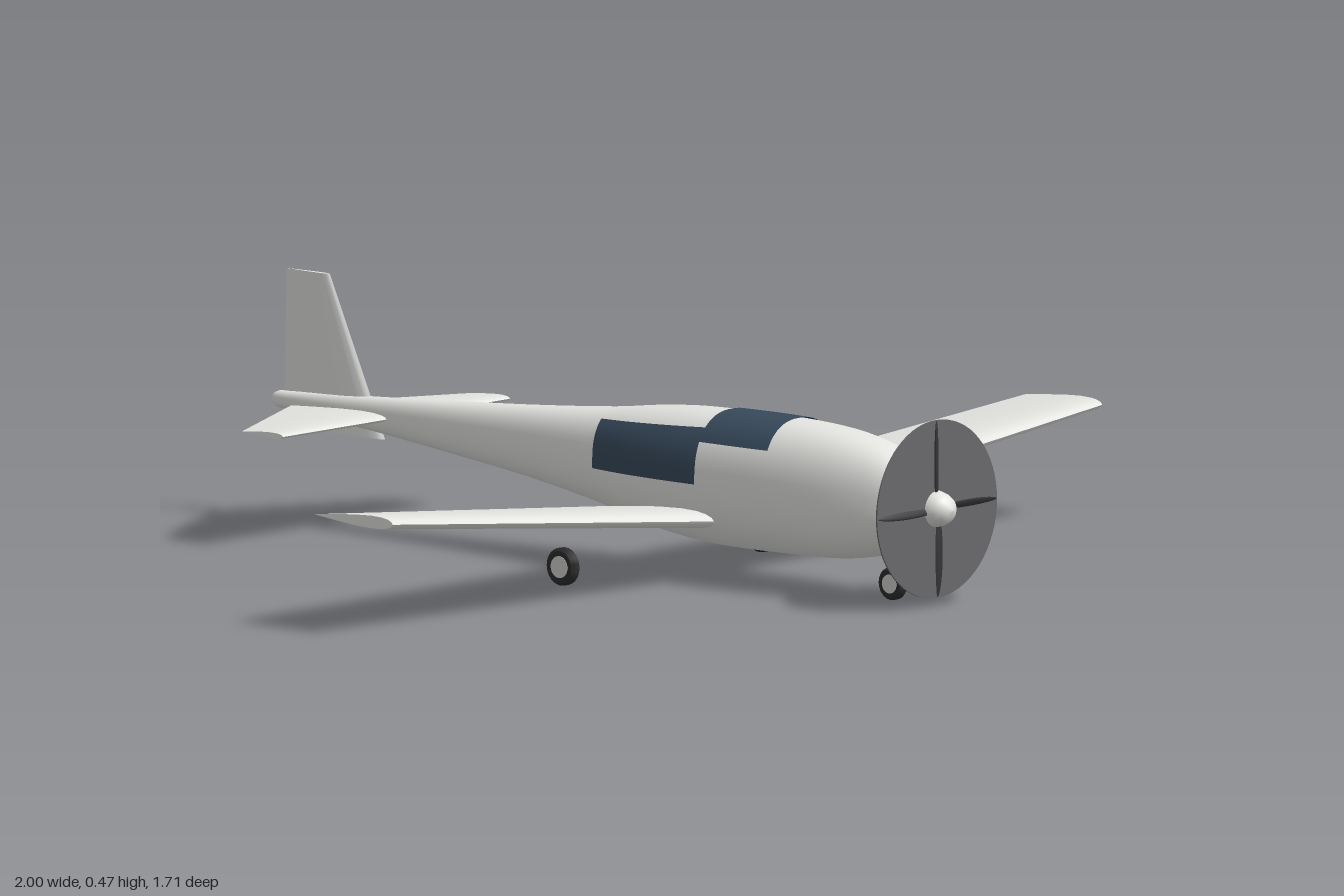
import * as THREE from 'three';
import { mergeVertices, toCreasedNormals } from 'three/addons/utils/BufferGeometryUtils.js';

const mat = (name, color, side = THREE.FrontSide) => {
  const m = new THREE.MeshStandardMaterial({ color, side });
  m.name = name;
  return m;
};

// Fuselage stations: z, top, bottom, half width
const STATIONS = [
  [0.82, 0.212, 0.154, 0.027], [0.80, 0.231, 0.134, 0.038], [0.76, 0.262, 0.108, 0.058],
  [0.70, 0.290, 0.086, 0.077], [0.60, 0.311, 0.069, 0.094], [0.46, 0.320, 0.064, 0.103],
  [0.30, 0.320, 0.064, 0.105], [0.20, 0.317, 0.072, 0.103], [0.10, 0.308, 0.088, 0.094],
  [0.00, 0.295, 0.110, 0.076], [-0.20, 0.278, 0.142, 0.051], [-0.40, 0.265, 0.166, 0.036],
  [-0.60, 0.253, 0.188, 0.025], [-0.84, 0.241, 0.209, 0.014], [-0.855, 0.237, 0.213, 0.010],
];
const POWER = 2.4; // squareness of the cross-section

// Smooth cubic interpolation between stations
function hull(z) {
  const S = STATIONS, n = S.length;
  let i = 0;
  while (i < n - 2 && z < S[i + 1][0]) i++;
  const h = S[i + 1][0] - S[i][0];
  const t = (z - S[i][0]) / h;
  const slope = (k, c) => {
    const a = S[Math.max(k - 1, 0)], b = S[Math.min(k + 1, n - 1)];
    return (b[c] - a[c]) / (b[0] - a[0]);
  };
  const at = (c) => {
    const t2 = t * t, t3 = t2 * t;
    return (2 * t3 - 3 * t2 + 1) * S[i][c] + (t3 - 2 * t2 + t) * h * slope(i, c)
      + (3 * t2 - 2 * t3) * S[i + 1][c] + (t3 - t2) * h * slope(i + 1, c);
  };
  const top = at(1), bottom = at(2);
  return { cy: (top + bottom) / 2, ry: (top - bottom) / 2, rx: at(3) };
}

// Angle on the cross-section at z that lies at height y
function angleAt(z, y) {
  const { cy, ry } = hull(z);
  const s = THREE.MathUtils.clamp((y - cy) / ry, -1, 1);
  return Math.asin(Math.sign(s) * Math.abs(s) ** (POWER / 2));
}

// Skin over rings [z, scale], between the angles that range(z) gives
function skin(rings, steps, range, offset = 0) {
  const pos = [], index = [];
  const bend = (v) => Math.sign(v) * Math.abs(v) ** (2 / POWER);
  rings.forEach(([z, k], i) => {
    const { cy, ry, rx } = hull(z);
    const [a, b] = range(z);
    for (let j = 0; j <= steps; j++) {
      const t = a + (b - a) * j / steps;
      pos.push((rx + offset) * k * bend(Math.cos(t)), cy + (ry + offset) * k * bend(Math.sin(t)), z);
      if (i < rings.length - 1 && j < steps) {
        const p = i * (steps + 1) + j, q = p + steps + 1;
        index.push(p, q, p + 1, q, q + 1, p + 1);
      }
    }
  });
  let g = new THREE.BufferGeometry();
  g.setAttribute('position', new THREE.Float32BufferAttribute(pos, 3));
  g.setIndex(index);
  g = mergeVertices(g, 1e-5);
  g.computeVertexNormals();
  return g;
}

const zRings = (from, to, n) =>
  Array.from({ length: n + 1 }, (_, i) => [from + (to - from) * i / n, 1]);

// Aerofoil lofted along x; sections: x, y, leading z, trailing z, thickness
const FOIL = [[0, 0], [0.015, 0.38], [0.06, 0.7], [0.14, 0.92], [0.28, 1], [0.5, 0.84], [0.78, 0.42], [1, 0.05]];
const LOOP = [...FOIL, ...FOIL.slice(1).reverse().map(([c, h]) => [c, -h])];

function aerofoil(sections) {
  const pos = [], index = [], n = LOOP.length;
  sections.forEach(([x, y, lead, trail, thick], i) => {
    LOOP.forEach(([c, h], j) => {
      pos.push(x, y + h * thick / 2, lead + (trail - lead) * c);
      if (i === sections.length - 1) return;
      const a = i * n + j, b = i * n + (j + 1) % n;
      index.push(a, a + n, b, a + n, b + n, b);
    });
  });
  const last = (sections.length - 1) * n;
  for (let k = 1; k < n - 1; k++) index.push(0, k, k + 1, last, last + k + 1, last + k);
  const g = new THREE.BufferGeometry();
  g.setAttribute('position', new THREE.Float32BufferAttribute(pos, 3));
  g.setIndex(index);
  return toCreasedNormals(g, 0.7);
}

export function createModel() {
  const model = new THREE.Group();
  model.name = 'airplane';
  const white = mat('white paint', 0xe4e4e1);
  const glass = mat('dark glass', 0x37495b, THREE.DoubleSide);
  const discGrey = mat('propeller disc grey', 0x69696b);
  const bladeGrey = mat('blade dark grey', 0x343436);
  const rubber = mat('rubber', 0x2c2c2d);
  const hubGrey = mat('hub grey', 0xcfcfcd);

  const add = (name, geometry, material, parent = model) => {
    const m = new THREE.Mesh(geometry, material);
    m.name = name;
    parent.add(m);
    return m;
  };

  // Fuselage
  const rings = [[0.82, 0], ...zRings(0.82, 0.6, 16), ...zRings(0.58, -0.84, 56),
    [-0.85, 0.9], [-0.855, 0.7], [-0.855, 0]];
  add('fuselage', skin(rings, 48, () => [0, Math.PI * 2]), white);

  // Cockpit glazing
  add('windshield', skin(zRings(0.47, 0.3, 8), 28, (z) => {
    const a = angleAt(z, 0.268);
    return [a, Math.PI - a];
  }, 0.0025), glass);
  const sideRange = (z) => [angleAt(z, 0.19), angleAt(z, 0.278 + 0.05 * z)];
  const sideRings = zRings(0.3, 0.02, 12);
  add('leftWindow', skin(sideRings, 10, sideRange, 0.0025), glass);
  add('rightWindow', skin(sideRings, 10, (z) => {
    const [a, b] = sideRange(z);
    return [Math.PI - b, Math.PI - a];
  }, 0.0025), glass);

  // Wing with dihedral and tapered trailing edge
  add('wing', aerofoil([
    [-1, 0.219, 0.338, 0.144, 0.024],
    [0, 0.112, 0.338, 0.05, 0.036],
    [1, 0.219, 0.338, 0.144, 0.024],
  ]), white);

  // Tail surfaces
  add('tailplane', aerofoil([
    [-0.32, 0.218, -0.547, -0.65, 0.012],
    [0, 0.218, -0.547, -0.805, 0.02],
    [0.32, 0.218, -0.547, -0.65, 0.012],
  ]), white);
  const fin = aerofoil([
    [0.174, 0, -0.575, -0.83, 0.018],
    [0.475, 0, -0.715, -0.823, 0.01],
  ]);
  fin.rotateZ(Math.PI / 2);
  add('fin', fin, white);

  // Propeller
  const propeller = new THREE.Group();
  propeller.name = 'propeller';
  propeller.position.set(0, 0.184, 0.815);
  model.add(propeller);
  add('propellerDisc', new THREE.CylinderGeometry(0.169, 0.169, 0.003, 64).rotateX(Math.PI / 2), discGrey, propeller);
  const blade = new THREE.SphereGeometry(1, 12, 16).scale(0.012, 0.085, 0.004);
  blade.rotateY(0.6).translate(0, 0.085, 0);
  for (let i = 0; i < 4; i++) add('blade', blade, bladeGrey, propeller).rotation.z = i * Math.PI / 2;
  const cone = [[0.034, -0.02], [0.035, 0], [0.031, 0.016], [0.024, 0.029], [0.013, 0.038], [0, 0.041]];
  add('spinner', new THREE.LatheGeometry(cone.map((p) => new THREE.Vector2(...p)), 32).rotateX(Math.PI / 2),
    white, propeller);

  // Wheels
  const addWheel = (name, x, z, r, w) => {
    const wheel = new THREE.Group();
    wheel.name = name;
    wheel.position.set(x, r, z);
    model.add(wheel);
    const h = w / 2;
    const profile = [[r * 0.55, -h], [r * 0.85, -h], [r, -h * 0.55], [r, h * 0.55], [r * 0.85, h], [r * 0.55, h]];
    const tyre = new THREE.LatheGeometry(profile.map((p) => new THREE.Vector2(...p)), 24);
    add('tyre', toCreasedNormals(tyre.rotateZ(Math.PI / 2), 0.5), rubber, wheel);
    add('hub', new THREE.CylinderGeometry(r * 0.58, r * 0.58, w + 0.002, 24).rotateZ(Math.PI / 2), hubGrey, wheel);
  };
  addWheel('noseWheel', 0, 0.705, 0.031, 0.02);
  for (const s of [1, -1]) addWheel(s > 0 ? 'leftWheel' : 'rightWheel', s * 0.28, 0.124, 0.036, 0.022);

  return model;
}
